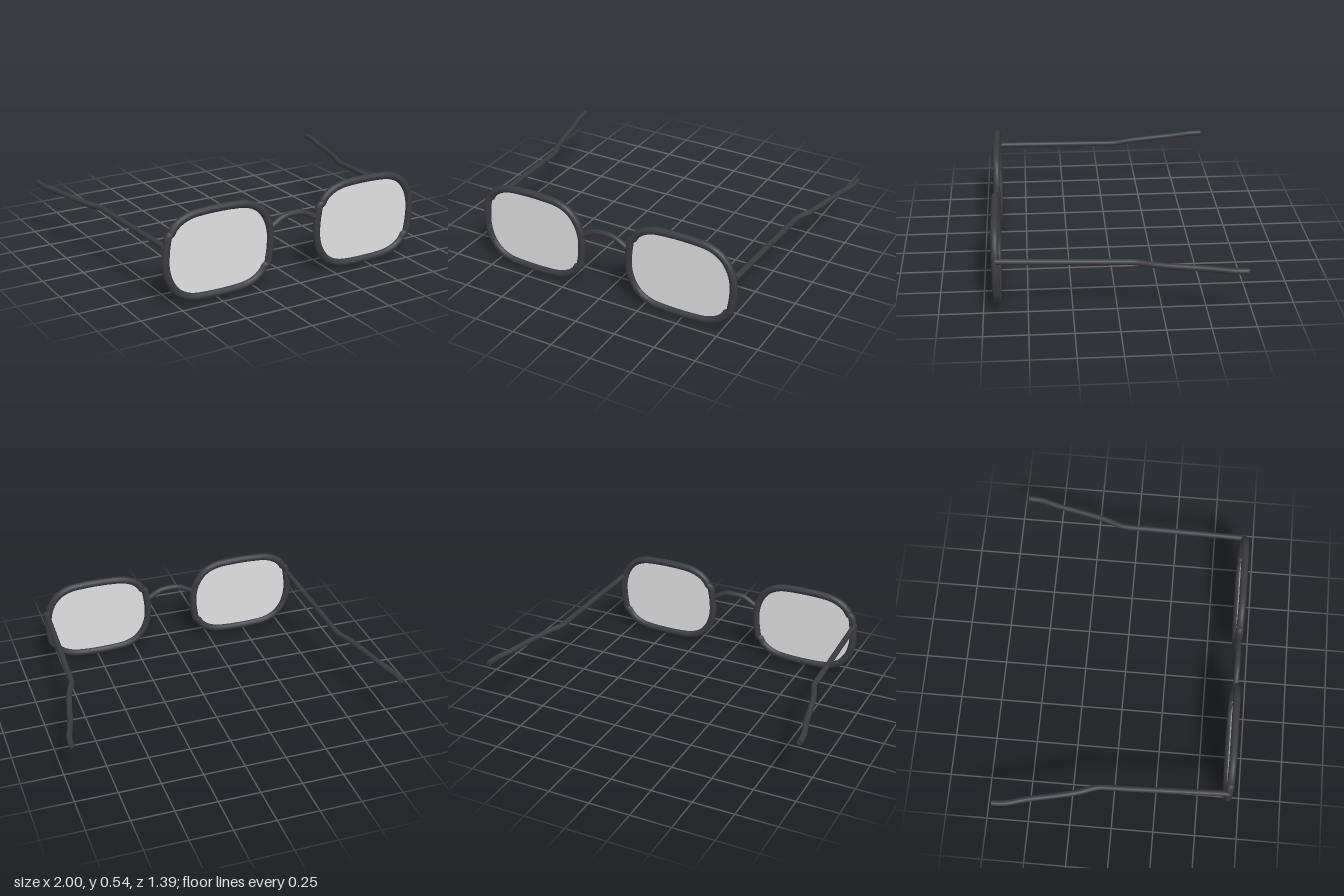
import * as THREE from 'three';

const frameMaterial = new THREE.MeshStandardMaterial({ color: 0x3b3a40 });
frameMaterial.name = 'dark frame';
const lensMaterial = new THREE.MeshStandardMaterial({ color: 0xe0e0e0, side: THREE.DoubleSide });
lensMaterial.name = 'pale lens';

const FRONT_Z = 0.672;
const LENS_X = 0.481;
const LENS_Y = 0.274;

function mesh(name, geometry, material) {
  const m = new THREE.Mesh(geometry, material);
  m.name = name;
  return m;
}

// Round wire through points, with flat end caps when open
function wire(name, points, radius, segments, closed = false) {
  const curve = new THREE.CatmullRomCurve3(
    points.map(p => new THREE.Vector3(...p)), closed, 'centripetal');
  const group = new THREE.Group();
  group.name = name;
  group.add(mesh(name + 'Tube', new THREE.TubeGeometry(curve, segments, radius, 14, closed), frameMaterial));
  if (!closed) {
    for (const t of [0, 1]) {
      const cap = mesh(name + 'Cap', new THREE.CircleGeometry(radius, 14), frameMaterial);
      const at = curve.getPointAt(t);
      const dir = curve.getTangentAt(t).multiplyScalar(t ? 1 : -1);
      cap.position.copy(at);
      cap.lookAt(at.clone().add(dir));
      group.add(cap);
    }
  }
  return group;
}

// Half of the rim outline; the other half is the same turned 180 degrees.
// Each half begins with the small notch in the rim.
const halfRim = [
  [-0.29, 0.152], [-0.28, 0.172], [-0.245, 0.206], [-0.18, 0.235], [-0.09, 0.246],
  [0.09, 0.246], [0.18, 0.235], [0.25, 0.2], [0.3, 0.135],
  [0.325, 0.05], [0.325, -0.04], [0.317, -0.1], [0.309, -0.138],
];
const rimOutline = [...halfRim, ...halfRim.map(([x, y]) => [-x, -y])];

// Rim with a flat lens inside
function eyepiece(side) {
  const group = new THREE.Group();
  group.name = side > 0 ? 'leftEyepiece' : 'rightEyepiece';
  group.add(wire('rim', rimOutline.map(([x, y]) => [x, y, 0]), 0.022, 160, true));
  const shape = new THREE.Shape(rimOutline.map(([x, y]) => new THREE.Vector2(x, y)));
  group.add(mesh('lens', new THREE.ShapeGeometry(shape), lensMaterial));
  group.position.set(side * LENS_X, LENS_Y, FRONT_Z);
  return group;
}

// Temple arm running back and splaying outward behind the bend
function temple(side) {
  const points = [
    [0.815, 0.36, 0.672], [0.823, 0.354, 0.4], [0.832, 0.347, 0.1], [0.838, 0.343, -0.09],
    [0.845, 0.342, -0.115], [0.875, 0.342, -0.195], [0.906, 0.342, -0.32], [0.942, 0.342, -0.49],
    [0.973, 0.342, -0.6], [0.978, 0.342, -0.63], [0.981, 0.342, -0.692],
  ];
  return wire(side > 0 ? 'leftTemple' : 'rightTemple',
    points.map(([x, y, z]) => [side * x, y, z]), 0.017, 60);
}

export function createModel() {
  const model = new THREE.Group();
  model.name = 'spectacles';
  for (const side of [1, -1]) model.add(eyepiece(side), temple(side));

  // Arched nose bridge
  const arch = [[0.155, 0.342], [0.125, 0.36], [0.08, 0.386], [0.04, 0.397]];
  const bridge = [
    ...arch.map(([x, y]) => [-x, y, FRONT_Z]),
    ...arch.reverse().map(([x, y]) => [x, y, FRONT_Z]),
  ];
  model.add(wire('bridge', bridge, 0.017, 32));
  return model;
}
